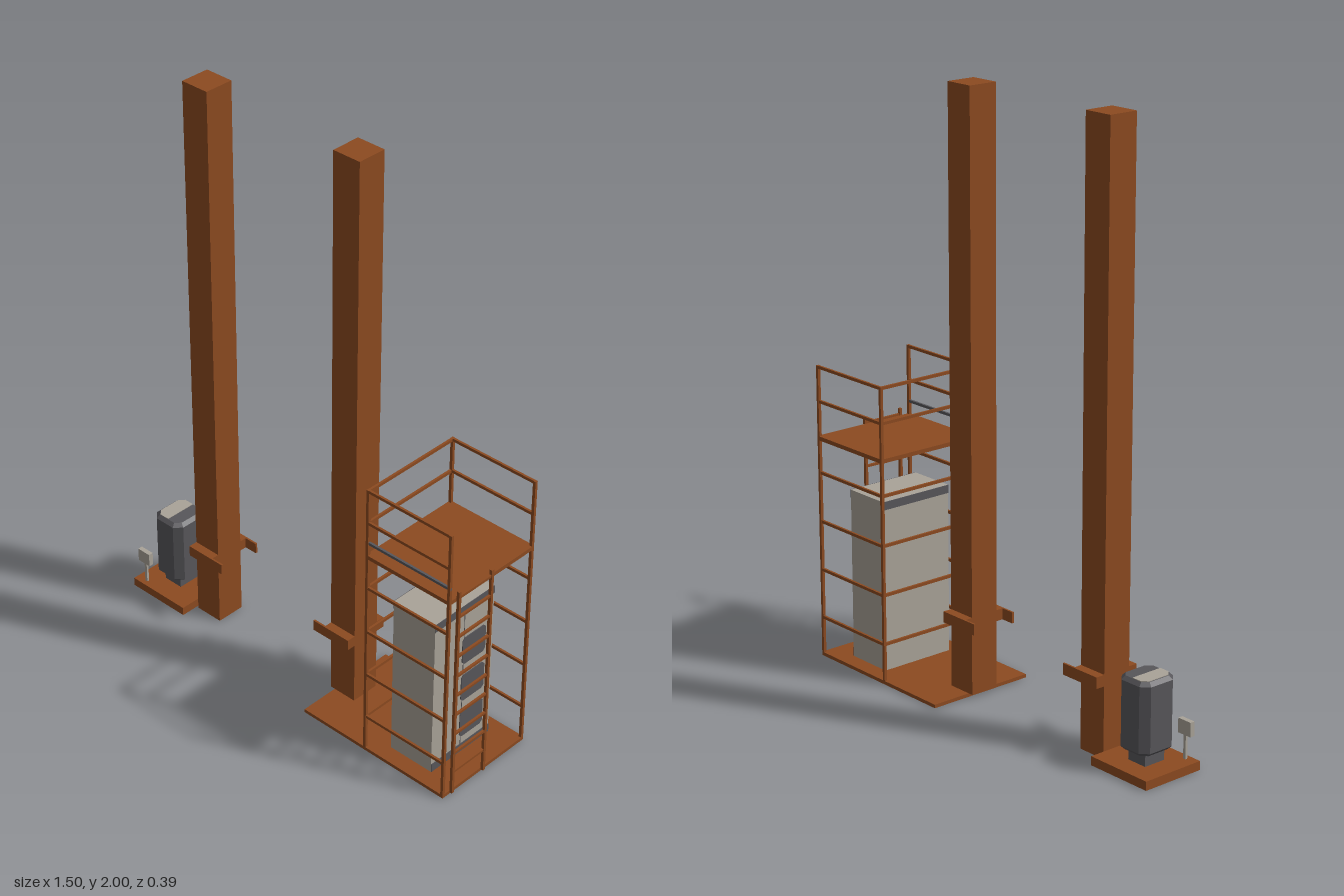
import * as THREE from 'three';

export function createModel() {
  const model = new THREE.Group();
  const mat = (name, color) => {
    const m = new THREE.MeshStandardMaterial({ color });
    m.name = name;
    return m;
  };
  const steel = mat('rust brown steel', 0x8c4a20);
  const light = mat('light grey', 0xa9a398);
  const dark = mat('dark grey', 0x57565a);

  const add = (parent, name, geometry, material) => {
    const mesh = new THREE.Mesh(geometry, material);
    mesh.name = name;
    parent.add(mesh);
    return mesh;
  };
  // Box given by its lower and upper limits on each axis
  const box = (parent, name, material, x0, x1, y0, y1, z0, z1) => {
    const mesh = add(parent, name, new THREE.BoxGeometry(x1 - x0, y1 - y0, z1 - z0), material);
    mesh.position.set((x0 + x1) / 2, (y0 + y1) / 2, (z0 + z1) / 2);
    return mesh;
  };
  const group = (name) => {
    const g = new THREE.Group();
    g.name = name;
    model.add(g);
    return g;
  };
  // Rectangle in x/y with cut corners
  const cutRect = (w, h, c) => new THREE.Shape([
    [w - c, -h], [w, c - h], [w, h - c], [w - c, h],
    [c - w, h], [-w, h - c], [-w, c - h], [c - w, -h],
  ].map(([x, y]) => new THREE.Vector2(x, y)));

  // Two tall columns with clamps reaching towards each other
  for (const [x, inward, base] of [[-0.448, 1, 0], [0.174, -1, 0.012]]) {
    const g = group(inward > 0 ? 'rightColumn' : 'leftColumn');
    box(g, 'column', steel, x - 0.052, x + 0.052, base, 2, -0.052, 0.052);
    for (const s of [-1, 1]) {
      const block = add(g, 'clampBlock', new THREE.BoxGeometry(0.104, 0.038, 0.026), steel);
      block.position.set(x, 0.26, s * 0.065);
      const arm = add(g, 'clampArm', new THREE.BoxGeometry(0.152, 0.038, 0.007), steel);
      arm.position.set(x + inward * 0.024, 0.26, s * 0.0805);
    }
  }

  // Motor on its pad
  const motor = group('motorUnit');
  box(motor, 'motorPad', steel, -0.75, -0.508, 0, 0.03, -0.11, 0.116);
  box(motor, 'motorNeck', dark, -0.672, -0.598, 0.03, 0.08, -0.04, 0.04);
  const bevel = 0.012;
  const bodyGeo = new THREE.ExtrudeGeometry(cutRect(0.064 - bevel, 0.07 - bevel, 0.018), {
    depth: 0.241 - 2 * bevel, bevelEnabled: true, bevelSegments: 1,
    bevelSize: bevel, bevelThickness: bevel,
  });
  bodyGeo.rotateX(-Math.PI / 2);
  add(motor, 'motorBody', bodyGeo, dark).position.set(-0.634, 0.07 + bevel, 0);
  // Light half of the motor's top
  const capShape = new THREE.Shape([
    [0, -0.058], [0, 0.058], [-0.036, 0.058], [-0.053, 0.04], [-0.053, -0.04], [-0.036, -0.058],
  ].map(([x, y]) => new THREE.Vector2(x, y)));
  const capGeo = new THREE.ExtrudeGeometry(capShape, { depth: 0.002, bevelEnabled: false });
  capGeo.rotateX(-Math.PI / 2);
  add(motor, 'motorTopPlate', capGeo, light).position.set(-0.63, 0.311, 0);

  // Small control box on a stand
  box(motor, 'controlStand', light, -0.713, -0.703, 0.03, 0.115, 0.09, 0.098);
  box(motor, 'controlBox', light, -0.734, -0.681, 0.11, 0.158, 0.088, 0.105);

  // Platform cage: base, deck, corner posts and rails
  const cage = group('platformCage');
  const X0 = 0.398, X1 = 0.736, Z = 0.194, T = 0.01;
  box(cage, 'basePlate', steel, 0.14, X1, 0, 0.012, -Z, Z);
  box(cage, 'deck', steel, X0, X1, 0.76, 0.774, -Z, Z);
  for (const x of [X0, X1 - T]) {
    for (const z of [-Z, Z - T]) box(cage, 'cagePost', steel, x, x + T, 0.012, 1.015, z, z + T);
  }
  for (const y of [0.138, 0.308, 0.478, 0.648, 0.893, 1.01]) {
    const [a, b] = [y - 0.005, y + 0.005];
    for (const z of [-Z + 0.001, Z - 0.009]) box(cage, 'longRail', steel, X0, X1, a, b, z, z + 0.008);
    box(cage, 'crossRail', steel, X0 + 0.001, X0 + 0.009, a, b, -Z, Z);
  }
  box(cage, 'frontDarkRail', dark, X0, X1, 0.815, 0.824, Z - 0.009, Z - 0.001);

  // Ladder on the open side
  const ladder = group('ladder');
  for (const z of [0.004, 0.152]) {
    box(ladder, 'ladderRail', steel, 0.736, 0.746, 0.006, 0.797, z, z + 0.01);
  }
  for (let i = 0; i < 10; i++) {
    const y = 0.09 + i * 0.0762;
    box(ladder, 'ladderRung', steel, 0.737, 0.745, y - 0.004, y + 0.004, 0.008, 0.158);
  }

  // Cabinet with vents
  const cabinet = group('cabinet');
  const cx = 0.636;
  box(cabinet, 'cabinetBody', light, 0.466, cx, 0.012, 0.6, -0.137, 0.137);
  box(cabinet, 'topStrip', dark, cx, cx + 0.002, 0.572, 0.6, -0.137, 0.137);
  box(cabinet, 'bottomStrip', dark, cx, cx + 0.002, 0.012, 0.043, -0.137, 0.137);
  box(cabinet, 'backTopStrip', dark, 0.464, 0.466, 0.572, 0.6, -0.137, 0.137);
  box(cabinet, 'doorSeam', dark, cx, cx + 0.001, 0.043, 0.572, -0.001, 0.001);
  const ventGeo = new THREE.ExtrudeGeometry(cutRect(0.054, 0.052, 0.01), { depth: 0.003, bevelEnabled: false });
  ventGeo.rotateY(Math.PI / 2);
  for (const y of [0.125, 0.272, 0.42]) {
    add(cabinet, 'vent', ventGeo, dark).position.set(cx, y, -0.047);
  }

  return model;
}
